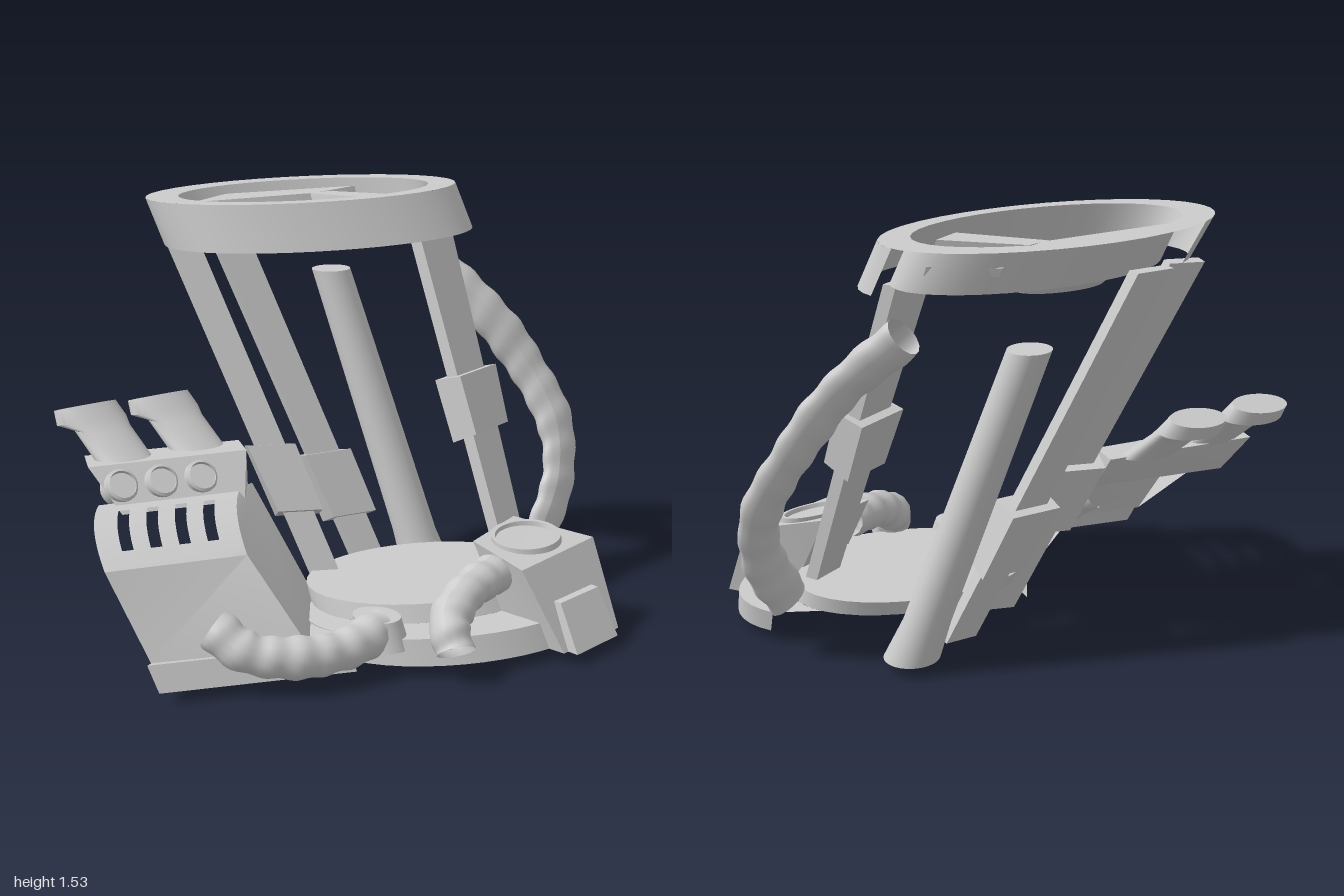
import * as THREE from 'three';
import { toCreasedNormals } from 'three/addons/utils/BufferGeometryUtils.js';

const V = (p) => new THREE.Vector3(...p);

export function createModel() {
  const group = new THREE.Group();
  const solid = new THREE.MeshStandardMaterial({ color: 0xcccccc });
  const thin = new THREE.MeshStandardMaterial({ color: 0xcccccc, side: THREE.DoubleSide });

  const add = (name, geo, mat = solid) => {
    const mesh = new THREE.Mesh(geo, mat);
    mesh.name = name;
    group.add(mesh);
    return mesh;
  };

  // Triangles to creased geometry
  const fromTris = (tris) => {
    const g = new THREE.BufferGeometry();
    g.setAttribute('position', new THREE.Float32BufferAttribute(tris.flat(2), 3));
    return toCreasedNormals(g, 0.6);
  };

  // Skin rows of points; rows are closed loops unless strip is set
  const loft = (rows, { bottom = false, top = false, strip = false } = {}) => {
    const n = rows[0].length, tris = [];
    for (let i = 0; i < rows.length - 1; i++)
      for (let j = 0; j < (strip ? n - 1 : n); j++) {
        const k = (j + 1) % n, a = rows[i], b = rows[i + 1];
        tris.push([a[j], a[k], b[j]], [a[k], b[k], b[j]]);
      }
    const last = rows[rows.length - 1], first = rows[0];
    for (let j = 1; j < n - 1; j++) {
      if (top) tris.push([last[0], last[j], last[j + 1]]);
      if (bottom) tris.push([first[0], first[j + 1], first[j]]);
    }
    return fromTris(tris);
  };
  const closed = { bottom: true, top: true };

  // Point on a skewed horizontal ellipse; slope tips it
  const ellPoint = (t, cx, y, cz, a, b, k = 0.145, slope = 0) => {
    const dz = k * a * Math.cos(t) - b * Math.sin(t);
    return [cx + a * Math.cos(t), y + slope * dz, cz + dz];
  };
  const ell = (...e) => Array.from({ length: 36 }, (_, i) => ellPoint((i / 36) * Math.PI * 2, ...e));
  const arc = (t0, t1, ...e) =>
    Array.from({ length: 29 }, (_, i) => ellPoint((t0 + (t1 - t0) * i / 28) * Math.PI, ...e));

  // Flat polygon raised from y0 to y1, leaning back as it rises
  const slab = (name, pts, y0, y1) =>
    add(name, loft([y0, y1].map((y) => pts.map(([x, z]) => [x, y, z + (y1 - y) * 0.45])), closed));

  // Head ring: flat rim, inner wall and an outer wall round the front
  add('headRim', loft([
    ell(0.075, 1.54, -0.44, 0.588, 0.308), ell(0.075, 1.54, -0.43, 0.475, 0.245),
    ell(0.1, 1.38, -0.36, 0.48, 0.245),
  ]), thin);
  add('headOuterWall', loft([
    arc(0.75, 2.02, 0.1, 1.38, -0.36, 0.585, 0.308), arc(0.75, 2.02, 0.075, 1.54, -0.44, 0.588, 0.308),
  ], { strip: true }), thin);

  // Spokes and hub inside the ring
  slab('leftSpoke', [[-0.32, -0.57], [0.16, -0.5], [0.38, -0.56], [-0.12, -0.67]], 1.45, 1.51);
  slab('frontSpoke', [[0.14, -0.5], [0.3, -0.23], [0.41, -0.27], [0.23, -0.51]], 1.43, 1.51);
  slab('seatPan', [[0.2, -0.51], [0.38, -0.26], [0.55, -0.4], [0.38, -0.56]], 1.44, 1.47);
  add('hubBowl', loft([ell(0.03, 1.33, -0.43, 0.16, 0.08), ell(0.02, 1.38, -0.46, 0.19, 0.1)],
    { bottom: true }), thin);

  // Hollow base: front skirt and raised disc
  add('baseSkirt', loft([
    arc(0.9, 2.1, 0.24, 0.05, 0.3, 0.535, 0.35), arc(0.9, 2.1, 0.24, 0.14, 0.26, 0.55, 0.36),
    arc(0.9, 2.1, 0.21, 0.14, 0.16, 0.435, 0.3),
  ], { strip: true }), thin);
  add('baseDisc', loft([ell(0.21, 0.14, 0.16, 0.435, 0.3), ell(0.21, 0.2, 0.13, 0.435, 0.3)],
    { top: true }), thin);

  // Rear round post
  add('rearPost', loft([
    ell(0.48, 0.05, -0.205, 0.1, 0.095, 0), ell(0.455, 0.2, -0.26, 0.085, 0.08, 0),
    ell(0.285, 1.2, -0.58, 0.075, 0.07, 0),
  ], { top: true }), thin);

  // Slanted rectangular posts, each with a thicker sleeve cut square to the post
  const post = (name, lo, hi, [w0, w1], d, turn, [s0, s1]) => {
    const section = (t, grow, tilt) => {
      const c = V(lo).lerp(V(hi), t), w = (w0 + (w1 - w0) * t) / 2 + grow, e = d / 2 + grow;
      return [[-w, e], [w, e], [w, -e], [-w, -e]].map(([x, z]) => [
        c.x + x * Math.cos(turn) + z * Math.sin(turn), c.y + z * tilt,
        c.z - x * Math.sin(turn) + z * Math.cos(turn)]);
    };
    add(name, loft([section(0, 0, 0), section(1, 0, 0)], closed));
    add(name + 'Sleeve', loft([section(s0, 0.025, 0.5), section(s1, 0.03, 0.3)], closed));
  };
  post('frontPost', [0.51, 0.14, 0.31], [0.47, 1.38, -0.2], [0.13, 0.2], 0.05, 0.3, [0.43, 0.6]);
  post('sidePost', [-0.03, 0.03, -0.05], [-0.35, 1.39, -0.62], [0.11, 0.12], 0.06, -0.45, [0.27, 0.45]);
  post('backPost', [0.22, 0.01, -0.13], [-0.13, 1.41, -0.69], [0.12, 0.14], 0.05, -0.15, [0.22, 0.39]);

  // Engine hood: front panel, slotted curved top, sides
  const lerp3 = (a, b, t) => a.map((v, i) => v + (b[i] - v) * t);
  const hoodCurve = (a, b, c, v) => lerp3(lerp3(a, b, v), lerp3(b, c, v), v);
  const hood = (u, v) => lerp3(
    hoodCurve([-1, 0.42, -0.02], [-0.97, 0.53, -0.2], [-0.85, 0.53, -0.35], v),
    hoodCurve([-0.53, 0.42, 0.11], [-0.49, 0.53, -0.06], [-0.35, 0.53, -0.23], v), u);
  const quad = (a, b, c, d) => [[a, b, c], [a, c, d]];
  const footL = [-0.92, 0.13, 0.13], footR = [-0.42, 0.13, 0.32];
  const backLow = [-0.14, 0.13, -0.08], backHigh = [-0.25, 0.51, -0.31];
  const engine = [
    ...quad(footL, footR, hood(1, 0), hood(0, 0)),
    ...quad(footR, backLow, backHigh, hood(1, 0)),
  ];
  for (let j = 0; j < 10; j++) {
    const v0 = j / 10, v1 = (j + 1) / 10;
    engine.push([hood(1, v0), backHigh, hood(1, v1)], [footL, hood(0, v0), hood(0, v1)]);
  }
  const us = [0];
  for (const c of [0.2, 0.4, 0.6, 0.8]) us.push(c - 0.04, c + 0.04);
  us.push(1);
  for (let i = 0; i < us.length - 1; i++)
    for (let j = 0; j < 10; j++) {
      if (i % 2 && j > 1 && j < 8) continue;
      const v0 = j / 10, v1 = (j + 1) / 10;
      engine.push(...quad(hood(us[i], v0), hood(us[i + 1], v0), hood(us[i + 1], v1), hood(us[i], v1)));
    }
  add('engineHood', fromTris(engine), thin);

  // Kick strip round the foot of the engine
  add('engineSkid', loft([
    [[-0.93, 0.05, 0.2], [-0.3, 0.05, 0.43], [-0.13, 0.05, -0.1]],
    [[-0.95, 0.14, 0.16], [-0.32, 0.14, 0.39], [-0.13, 0.14, -0.1]],
    [footL, footR, backLow],
  ], { strip: true }), thin);

  // Engine block with round ports
  add('engineBlock', loft([
    [[-0.79, 0.5, -0.29], [-0.36, 0.5, -0.18], [-0.28, 0.51, -0.29], [-0.76, 0.51, -0.45]],
    [[-0.85, 0.65, -0.42], [-0.29, 0.65, -0.28], [-0.25, 0.65, -0.4], [-0.8, 0.65, -0.55]],
  ], closed));
  const portProfile = [[0, 0], [0.046, 0], [0.05, 0.025], [0.06, 0.02], [0.062, -0.04]]
    .map((p) => new THREE.Vector2(...p));
  for (let i = 0; i < 3; i++) {
    const port = add('enginePort', toCreasedNormals(new THREE.LatheGeometry(portProfile, 24), 0.6), thin);
    port.position.set(-0.76 + i * 0.14, 0.58, -0.355 + i * 0.035);
    port.rotation.x = Math.PI / 2 - 0.6;
  }

  // Two flared stacks with sloping lids
  for (const [dx, dz] of [[0, 0], [0.28, 0.03]])
    add('exhaustStack', loft([
      ell(-0.69 + dx, 0.64, -0.45 + dz, 0.1, 0.065), ell(-0.72 + dx, 0.74, -0.56 + dz, 0.1, 0.06),
      ell(-0.74 + dx, 0.76, -0.6 + dz, 0.125, 0.065, 0.145, 0.25),
      ell(-0.75 + dx, 0.81, -0.63 + dz, 0.112, 0.055, 0.145, 0.35),
    ], closed));

  // Gauge housing, dial and foot
  add('gaugeHousing', loft([
    [[0.32, 0.05, 0.5], [0.37, 0.05, 0.72], [0.68, 0.05, 0.66], [0.57, 0.05, 0.43]],
    [[0.24, 0.385, 0.37], [0.28, 0.335, 0.59], [0.69, 0.345, 0.5], [0.5, 0.4, 0.28]],
  ], { top: true }), thin);
  add('gaugeDial', loft([
    ell(0.44, 0.35, 0.43, 0.14, 0.1, 0, -0.2), ell(0.44, 0.385, 0.42, 0.14, 0.1, 0, -0.2),
    ell(0.44, 0.385, 0.42, 0.125, 0.085, 0, -0.2), ell(0.44, 0.369, 0.42, 0.12, 0.08, 0, -0.2),
  ], { top: true }));
  add('gaugeFoot', loft([
    [[0.38, 0.05, 0.64], [0.4, 0.05, 0.755], [0.63, 0.05, 0.71], [0.61, 0.05, 0.6]],
    [[0.38, 0.21, 0.58], [0.4, 0.21, 0.66], [0.61, 0.21, 0.62], [0.6, 0.21, 0.54]],
  ], { top: true }), thin);

  // Open hoses with soft uneven folds, flattened front to back
  const hose = (name, pts, r, depth, folds) => {
    const curve = new THREE.CatmullRomCurve3(pts.map(V)), n = 60, sides = 14;
    const g = new THREE.TubeGeometry(curve, n, r, sides);
    const pos = g.attributes.position, p = new THREE.Vector3();
    for (let i = 0; i < pos.count; i++) {
      const ring = Math.floor(i / (sides + 1)), c = curve.getPointAt(ring / n);
      const a = (i % (sides + 1)) / sides * Math.PI * 2, s = ring / n * Math.PI * 2 * folds;
      const lump = 1 + 0.05 * Math.sin(s + Math.sin(a)) + 0.03 * Math.sin(s * 0.37);
      p.fromBufferAttribute(pos, i).sub(c).multiplyScalar(lump);
      pos.setXYZ(i, c.x + p.x, c.y + p.y, c.z + p.z * depth);
    }
    g.computeVertexNormals();
    add(name, g, thin);
  };
  hose('tallHose', [[0.57, 1.23, -0.31], [0.72, 1.05, -0.17], [0.84, 0.85, -0.08], [0.91, 0.62, 0.03],
    [0.87, 0.42, 0.1], [0.75, 0.22, 0.14]], 0.08, 0.42, 10);
  hose('engineHose', [[-0.72, 0.23, 0.2], [-0.65, 0.16, 0.29], [-0.5, 0.13, 0.37], [-0.32, 0.13, 0.4],
    [-0.16, 0.16, 0.38]], 0.072, 0.95, 7);
  hose('gaugeHose', [[0.27, 0.29, 0.46], [0.1, 0.27, 0.51], [-0.01, 0.2, 0.56], [-0.03, 0.12, 0.62]],
    0.07, 1, 5);
  add('hoseCollar', loft([ell(-0.16, 0.1, 0.39, 0.08, 0.09), ell(-0.17, 0.2, 0.36, 0.075, 0.085)], closed));

  return group;
}
